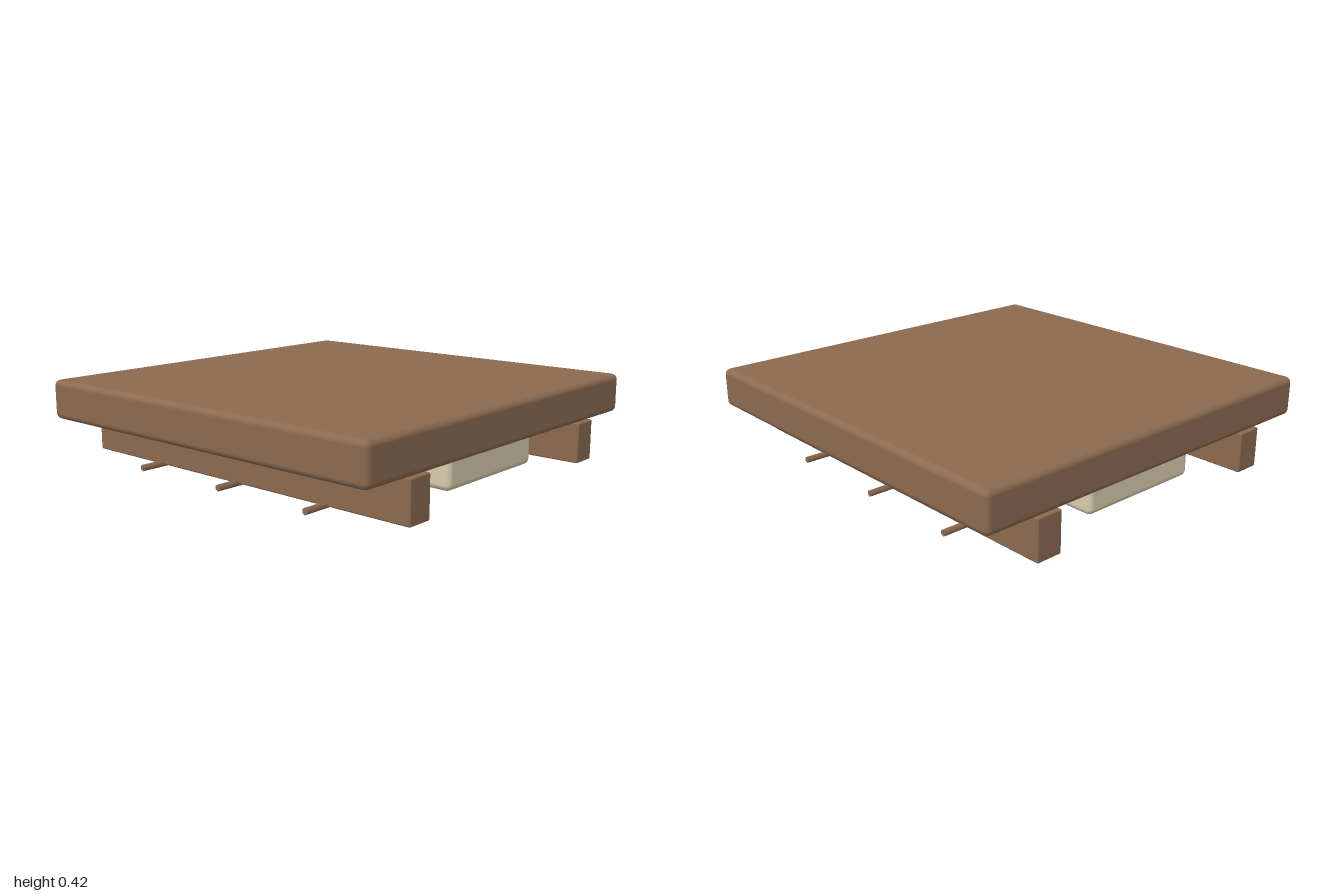
import * as THREE from 'three';
import { RoundedBoxGeometry } from 'three/addons/geometries/RoundedBoxGeometry.js';

export function createModel() {
  const model = new THREE.Group();
  model.name = 'platform';
  const wood = new THREE.MeshStandardMaterial({ color: 0x8b6a50 });
  wood.name = 'brown wood';
  const cream = new THREE.MeshStandardMaterial({ color: 0xd8ccae });
  cream.name = 'cream';

  function add(name, geometry, material, x, y, z) {
    const mesh = new THREE.Mesh(geometry, material);
    mesh.name = name;
    mesh.position.set(x, y, z);
    model.add(mesh);
    return mesh;
  }

  // Thick square top
  add('topSlab', new RoundedBoxGeometry(2, 0.195, 2, 3, 0.03), wood, 0, 0.318, 0);

  // Two full-width support beams
  for (const side of [1, -1]) {
    add(side > 0 ? 'frontBeam' : 'backBeam',
      new RoundedBoxGeometry(2, 0.2, 0.133, 2, 0.008), wood, 0, 0.12, side * 0.667);
  }

  // Pale block slung between the beams
  add('centreBlock', new RoundedBoxGeometry(1.8, 0.16, 0.665, 3, 0.03), cream, 0, 0.135, 0);

  // Thin six-sided rods running front to back
  const rod = new THREE.CylinderGeometry(0.0165, 0.0165, 1.667, 6).rotateX(Math.PI / 2);
  ['rightRod', 'middleRod', 'leftRod'].forEach((name, i) => {
    add(name, rod, wood, (i - 1) * 0.533, 0.0165, 0);
  });

  return model;
}
